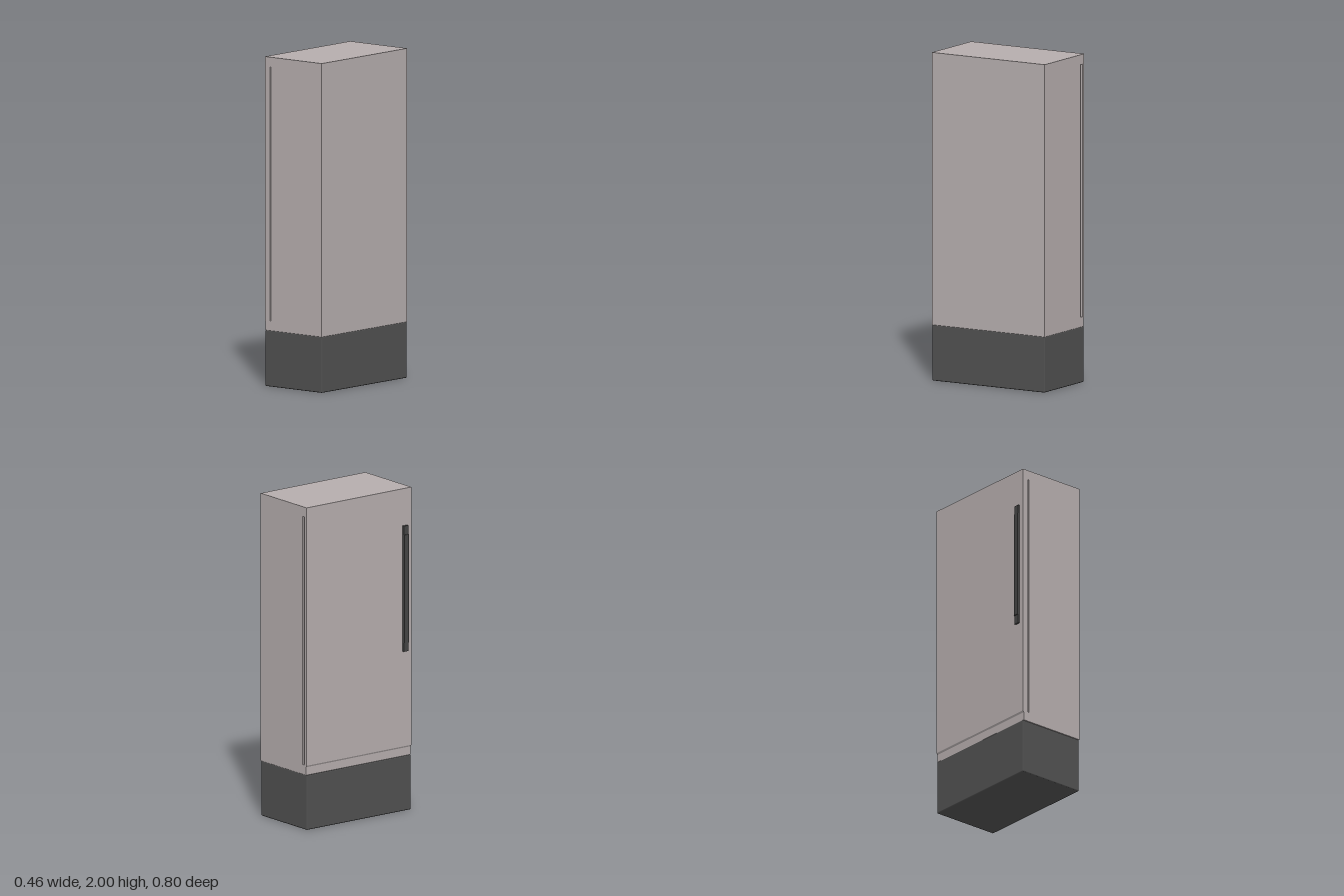
import * as THREE from 'three';
import { RoundedBoxGeometry } from 'three/addons/geometries/RoundedBoxGeometry.js';

export function createModel() {
  const group = new THREE.Group();
  const panelMat = new THREE.MeshStandardMaterial({ color: 0xb5adad });
  const baseMat = new THREE.MeshStandardMaterial({ color: 0x505050 });
  const handleMat = new THREE.MeshStandardMaterial({ color: 0x444444 });

  const add = (name, geometry, material, x = 0, y = 0, z = 0) => {
    const mesh = new THREE.Mesh(geometry, material);
    mesh.name = name;
    mesh.position.set(x, y, z);
    group.add(mesh);
  };

  const left = 0.23, right = -0.215, top = 2, baseTop = 0.34, half = 0.4;

  // Cabinet outline seen from the front, with a shallow recess under the door
  const outline = () => new THREE.Shape([
    [right + 0.006, baseTop], [left, baseTop], [left, top],
    [right, top], [right, 0.4], [right + 0.006, 0.39],
  ].map(([x, y]) => new THREE.Vector2(x, y)));

  // A layer of the cabinet, optionally cut by a vertical slot
  const layer = (depth, slot) => {
    const shape = outline();
    if (slot) {
      const [x0, x1] = slot, y0 = 0.4, y1 = 1.94;
      shape.holes.push(new THREE.Path([
        new THREE.Vector2(x0, y0), new THREE.Vector2(x0, y1),
        new THREE.Vector2(x1, y1), new THREE.Vector2(x1, y0),
      ]));
    }
    return new THREE.ExtrudeGeometry(shape, { depth, bevelEnabled: false });
  };

  // Solid core between slotted front and back skins
  const skin = 0.012;
  add('cabinetCore', layer(2 * (half - skin)), panelMat, 0, 0, -half + skin);
  add('cabinetFront', layer(skin, [-0.174, -0.168]), panelMat, 0, 0, half - skin);
  add('cabinetBack', layer(skin, [-0.194, -0.176]), panelMat, 0, 0, -half);

  // Dark plinth
  add('base', new RoundedBoxGeometry(0.443, baseTop, 0.796, 2, 0.006),
    baseMat, (left + right) / 2, baseTop / 2, 0);

  // Door handle: mounting strip and a slightly shorter raised grip
  const handleY = 1.38, handleZ = 0.351;
  add('handleMount', new THREE.BoxGeometry(0.014, 0.78, 0.033), handleMat, -0.22, handleY, handleZ);
  add('handleGrip', new THREE.BoxGeometry(0.006, 0.67, 0.033), handleMat, -0.229, handleY, handleZ);

  return group;
}
